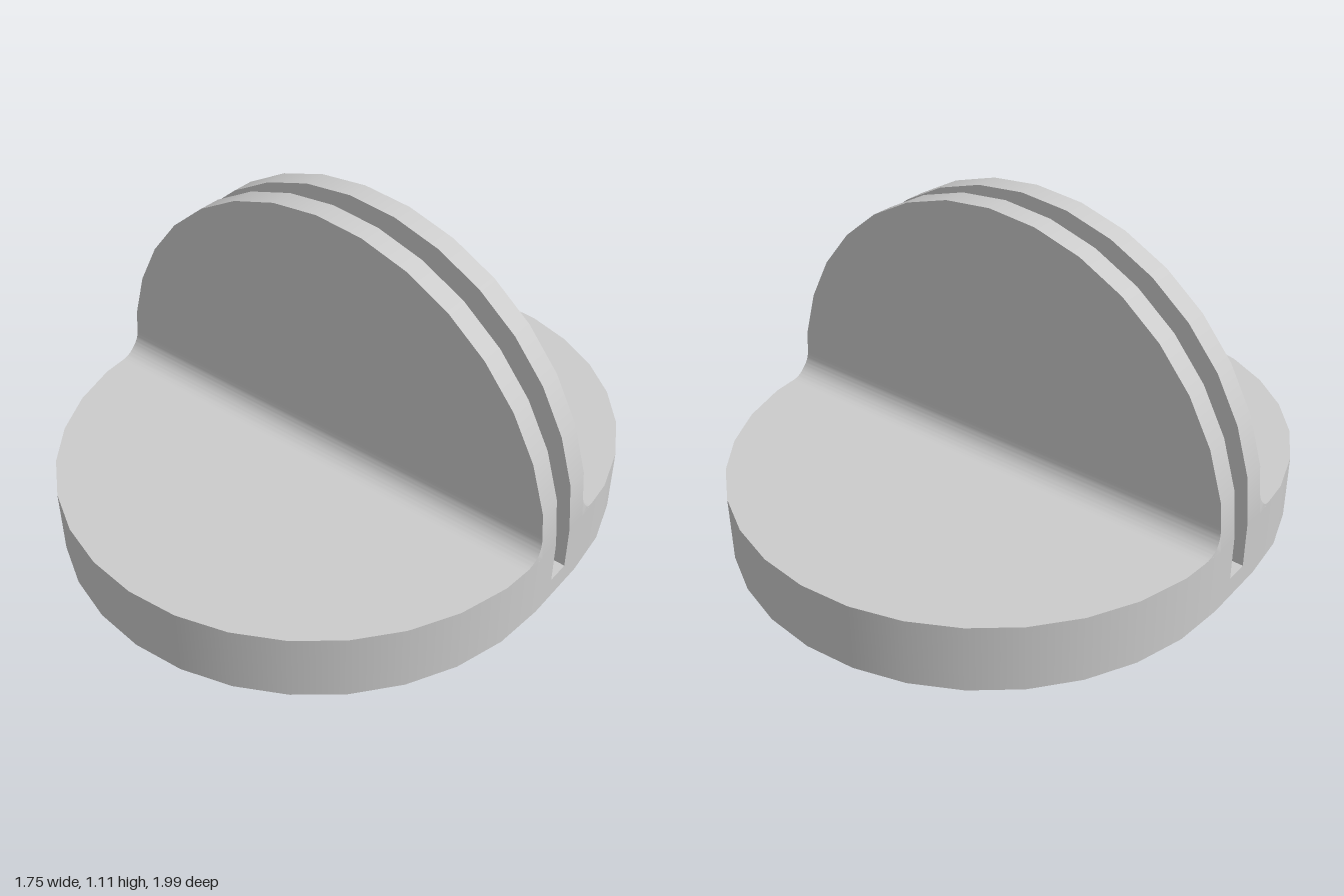
import * as THREE from 'three';
import { toCreasedNormals } from 'three/addons/utils/BufferGeometryUtils.js';

const R = 0.875;        // radius of the fins and of the base ends
const BASE_H = 0.23;    // top of the base
const FIN_OUT = 0.12;   // outer face of each fin
const FIN_IN = 0.04;    // inner face of each fin, wall of the slot
const SLOT_Y = 0.075;   // floor of the slot
const CORE_R = 0.722;   // rounded core between the fins
const FILLET = 0.08;

const material = new THREE.MeshStandardMaterial({ color: 0xcccccc });

// Half cylinder whose round side faces +z
const halfDisc = (r, h) =>
  new THREE.CylinderGeometry(r, r, h, 16, 1, false, -Math.PI / 2, Math.PI);

// Half disc standing upright, round side up
const archPlate = (r, thickness) => halfDisc(r, thickness).rotateX(-Math.PI / 2);

// Concave strip that blends a fin into the base
function filletGeometry() {
  const s = new THREE.Shape();
  s.moveTo(0, 0);
  s.lineTo(FILLET, 0);
  s.absarc(FILLET, FILLET, FILLET, -Math.PI / 2, -Math.PI, true);
  s.lineTo(0, 0);
  const g = new THREE.ExtrudeGeometry(s, { depth: 2 * R, bevelEnabled: false, curveSegments: 10 });
  // Draw the ends in so that they follow the round outlines
  const p = g.attributes.position;
  for (let i = 0; i < p.count; i++) {
    const inset = 0.1 * Math.max(p.getX(i), p.getY(i));
    p.setZ(i, p.getZ(i) > R ? R - inset : inset - R);
  }
  g.rotateY(-Math.PI / 2); // profile now in z-y, length along x
  return toCreasedNormals(g, 0.6);
}

export function createModel() {
  const model = new THREE.Group();
  const add = (parent, name, geometry, x, y, z) => {
    const mesh = new THREE.Mesh(geometry, material);
    mesh.name = name;
    mesh.position.set(x, y, z);
    parent.add(mesh);
  };

  // Floor under the slot
  add(model, 'slotFloor', new THREE.BoxGeometry(2 * R, SLOT_Y, 2 * FIN_OUT), 0, SLOT_Y / 2, 0);

  // Arched core set back between the fins
  add(model, 'core', archPlate(CORE_R, 2 * FIN_IN), 0, SLOT_Y, 0);

  // Front half and the same half turned round for the back
  const thickness = FIN_OUT - FIN_IN;
  const finZ = (FIN_OUT + FIN_IN) / 2;
  for (const [name, turn] of [['frontHalf', 0], ['backHalf', Math.PI]]) {
    const half = new THREE.Group();
    half.name = name;
    half.rotation.y = turn;
    add(half, 'baseEnd', halfDisc(R, BASE_H), 0, BASE_H / 2, FIN_OUT);
    add(half, 'finFoot', new THREE.BoxGeometry(2 * R, BASE_H - SLOT_Y, thickness),
      0, (BASE_H + SLOT_Y) / 2, finZ);
    add(half, 'fin', archPlate(R, thickness), 0, BASE_H, finZ);
    add(half, 'fillet', filletGeometry(), 0, BASE_H, FIN_OUT);
    model.add(half);
  }
  return model;
}
